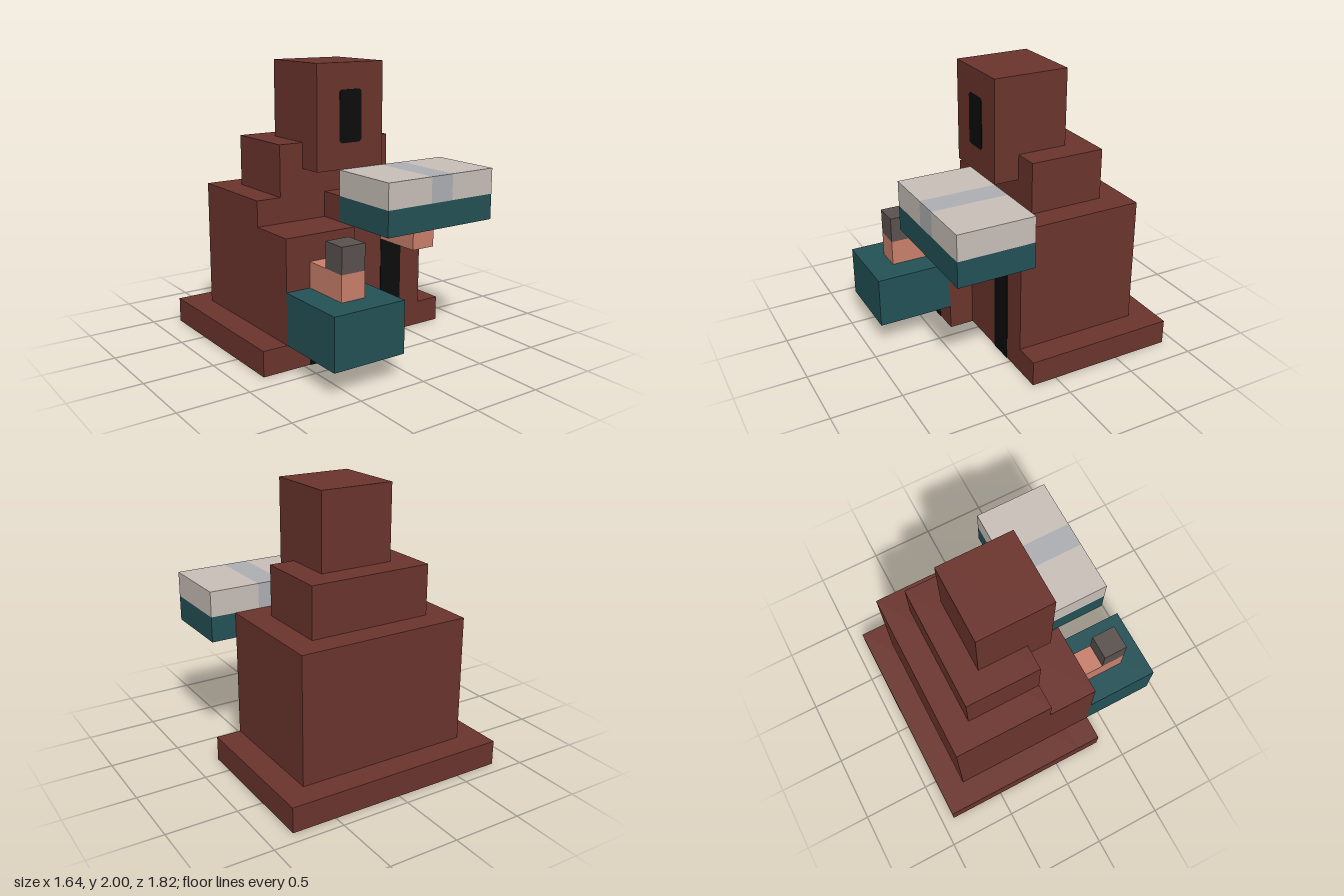
import * as THREE from 'three';

const U = 2 / 11; // one block

export function createModel() {
  const group = new THREE.Group();
  const mat = (name, color) => {
    const m = new THREE.MeshStandardMaterial({ color });
    m.name = name;
    return m;
  };
  const brown = mat('brick brown', 0x6b342d);
  const teal = mat('dark teal', 0x235156);
  const pale = mat('pale stone', 0xc8bfb8);
  const blueGrey = mat('blue grey', 0xadaeb2);
  const salmon = mat('salmon', 0xc97f6b);
  const grey = mat('warm grey', 0x59514e);
  const black = mat('black', 0x0c0c0c);

  // Box between two bounds on each axis, in blocks
  const block = (name, material, [x0, x1], [y0, y1], [z0, z1]) => {
    const geo = new THREE.BoxGeometry((x1 - x0) * U, (y1 - y0) * U, (z1 - z0) * U);
    const mesh = new THREE.Mesh(geo, material);
    mesh.name = name;
    mesh.position.set((x0 + x1) / 2 * U, (y0 + y1) / 2 * U, (z0 + z1) / 2 * U);
    group.add(mesh);
    return mesh;
  };
  const T = 0.02; // thin plate, in blocks

  // Base slab with a step forward on one side
  block('base', brown, [-4.5, 4.5], [T, 1], [-5, 1]);
  block('baseStep', brown, [-4.5, -0.5], [T, 1], [1, 2]);

  // Stepped body
  block('bodyBack', brown, [-3.5, 3.5], [1, 6], [-4, 0]);
  block('bodyFront', brown, [-0.5, 3.5], [1, 6], [0, 1]);
  block('porch', brown, [-3.5, -0.5], [1, 5], [0, 2]);
  block('shoulders', brown, [-2.5, 2.5], [6, 8], [-3, 0]);
  block('tower', brown, [-1.5, 1.5], [7, 11], [-2, 1]);

  // Underside: brown rim and dark floor
  block('baseRim', brown, [-4.5, 4.5], [T / 2, T], [-5, 1]);
  block('baseStepRim', brown, [-4.5, -0.5], [T / 2, T], [1, 2]);
  block('floor', black, [-3.5, 3.5], [0, T], [-4, 0]);
  block('floorStep', black, [-3.5, -1.5], [0, T], [0, 1]);

  // Doors
  block('tallDoor', black, [1.5, 2.5], [0, 4], [1, 1 + T]);
  block('lowDoor', black, [-2.5, -1.5], [0, 1], [2, 2 + T]);

  // Tower window with clipped corners
  const w = 0.5, h = 1, c = 0.09;
  const outline = [[-w + c, -h], [w - c, -h], [w, -h + c], [w, h - c],
    [w - c, h], [-w + c, h], [-w, h - c], [-w, -h + c]];
  const shape = new THREE.Shape(outline.map(([x, y]) => new THREE.Vector2(x * U, y * U)));
  const windowPlate = new THREE.Mesh(
    new THREE.ExtrudeGeometry(shape, { depth: T * U, bevelEnabled: false }), black);
  windowPlate.name = 'towerWindow';
  windowPlate.position.set(0, 9 * U, U);
  group.add(windowPlate);

  // Low platform with a post and cap
  block('platform', teal, [-3.5, -0.5], [1, 3], [2, 5]);
  block('post', salmon, [-2.5, -1.5], [3, 4], [2, 4]);
  block('postCap', grey, [-2.5, -1.5], [4, 5], [3, 4]);

  // Canopy on a bracket, with a striped slab on top
  block('bracket', salmon, [1.5, 2.5], [4, 5], [1, 3]);
  block('canopy', teal, [-0.5, 4.5], [5, 6], [1, 4]);
  block('canopySlabRight', pale, [-0.5, 1.5], [6, 7], [1, 4]);
  block('canopyStripe', blueGrey, [1.5, 2.5], [6, 7], [1, 4]);
  block('canopySlabLeft', pale, [2.5, 4.5], [6, 7], [1, 4]);

  return group;
}
